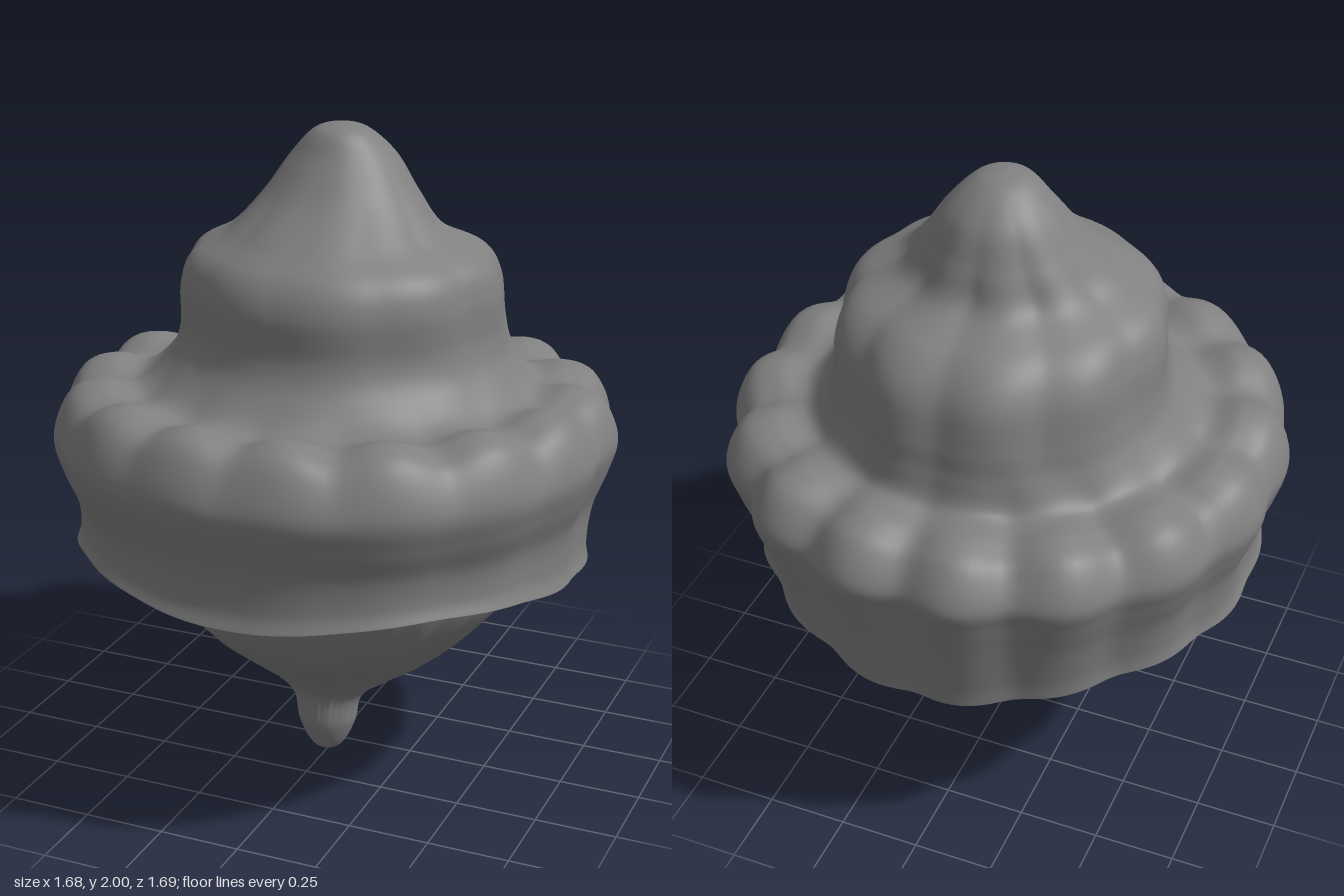
import * as THREE from 'three';

const SIDES = 192, STEPS = 8;

// Smooth interpolation through rows of numbers, all columns at once
function sampleRows(rows, u) {
  const i = Math.min(Math.floor(u), rows.length - 2), t = u - i;
  const at = k => rows[Math.max(0, Math.min(rows.length - 1, k))];
  const [a, b, c, d] = [at(i - 1), at(i), at(i + 1), at(i + 2)];
  return b.map((v, k) => v + 0.5 * t * (c[k] - a[k] +
    t * (2 * a[k] - 5 * v + 4 * c[k] - d[k] + t * (3 * (v - c[k]) + d[k] - a[k]))));
}

// Closed rings stacked from top to bottom; place(row, angle) gives a point, angle 0 = front
function loft(name, rows, place, material) {
  const pos = [], index = [], count = (rows.length - 1) * STEPS;
  for (let i = 0; i <= count; i++) {
    const row = sampleRows(rows, i / STEPS);
    for (let j = 0; j < SIDES; j++) pos.push(...place(row, (j / SIDES) * Math.PI * 2));
  }
  for (let i = 0; i < count; i++) {
    for (let j = 0; j < SIDES; j++) {
      const a = i * SIDES + j, d = i * SIDES + (j + 1) % SIDES;
      index.push(a, a + SIDES, d, a + SIDES, d + SIDES, d);
    }
  }
  const geometry = new THREE.BufferGeometry();
  geometry.setAttribute('position', new THREE.Float32BufferAttribute(pos, 3));
  geometry.setIndex(index);
  geometry.computeVertexNormals();
  const mesh = new THREE.Mesh(geometry, material);
  mesh.name = name;
  return mesh;
}

// Point on an oval ring that reaches z = front and z = back
function ringPoint(angle, y, rx, front, back, swell) {
  const c = Math.cos(angle), s = Math.sin(angle);
  return [s * (rx + swell), y, (front + back) / 2 + c * ((front - back) / 2 + swell)];
}

// Rounded lobes with soft valleys between them
const scallop = (angle, lobes) => Math.sqrt(Math.sin(angle * lobes / 2) ** 2 + 0.12) - 0.8;

// y, half width, front z, back z, rim lobes, rim lift, tier lobes, hem wave
const shellRows = [
  [2.00, 0.00, -0.03, -0.03, 0, 0, 0, 0],
  [1.98, 0.08, 0.05, -0.11, 0, 0, 0, 0],
  [1.90, 0.16, 0.11, -0.20, 0, 0, 0.1, 0],
  [1.79, 0.235, 0.20, -0.25, 0, 0, 0.3, 0],
  [1.69, 0.32, 0.32, -0.30, 0, 0, 0.8, 0],
  [1.62, 0.44, 0.41, -0.44, 0, 0, 1, 0],
  [1.53, 0.48, 0.45, -0.52, 0, 0, 1, 0],
  [1.40, 0.49, 0.45, -0.55, 0, 0, 0.7, 0],
  [1.31, 0.52, 0.49, -0.56, 0.1, 0, 0.4, 0],
  [1.23, 0.60, 0.58, -0.59, 0.3, 0.3, 0, 0],
  [1.235, 0.70, 0.70, -0.70, 0.7, 1, 0, 0],
  [1.20, 0.79, 0.79, -0.78, 1, 0.9, 0, 0],
  [1.09, 0.84, 0.85, -0.84, 1, 0.3, 0, 0],
  [0.99, 0.82, 0.83, -0.82, 0.8, 0, 0, 0],
  [0.88, 0.78, 0.80, -0.785, 0.6, 0, 0, 0.3],
  [0.77, 0.77, 0.795, -0.75, 0.5, 0, 0, 0.8],
  [0.714, 0.78, 0.81, -0.74, 0.5, 0, 0, 1],
];

function shellPoint([y, rx, front, back, lobes, lift, tier, hem], a) {
  const c = Math.cos(a), rim = scallop(a, 16);
  // The lobes are deeper towards the back; the front corners are fuller
  const corner = 0.009 * (1 - Math.cos(4 * a)) * (1 + c) / 2;
  const swell = lobes * (rim * (0.035 - 0.028 * c) + corner) +
    tier * scallop(a, 10) * (0.024 - 0.016 * c);
  const wave = 0.05 * c - 0.015 * Math.cos(2 * a) - 0.019 * Math.cos(4 * a);
  return ringPoint(a, y + lift * (0.05 * rim + 0.025 * c) + hem * wave, rx, front, back, swell);
}

// y, half width, front z, back z, depth of the creases
const bulbRows = [
  [1.02, 0.79, 0.79, -0.77, 0],
  [0.97, 0.70, 0.70, -0.69, 0],
  [0.88, 0.64, 0.63, -0.63, 0.2],
  [0.73, 0.61, 0.60, -0.59, 0.5],
  [0.60, 0.555, 0.54, -0.53, 0.8],
  [0.48, 0.455, 0.46, -0.45, 1],
  [0.36, 0.33, 0.32, -0.29, 1],
  [0.28, 0.21, 0.22, -0.12, 0.6],
  [0.21, 0.115, 0.17, -0.02, 0.2],
  [0.11, 0.09, 0.165, 0.00, 0],
  [0.03, 0.05, 0.13, 0.03, 0],
  [0.00, 0.00, 0.08, 0.08, 0],
];

function bulbPoint([y, rx, front, back, crease], a) {
  // Uneven folds that drift sideways as they climb
  const folds = 0.006 * Math.cos(13 * a + 2 * Math.sin(3 * a) + 2 * y) +
    0.004 * Math.cos(29 * a + 3 * Math.sin(2 * a) - 4 * y) + 0.006 * Math.sin(5 * a + 1);
  return ringPoint(a, y, rx, front, back, crease * folds);
}

export function createModel() {
  const group = new THREE.Group();
  group.name = 'lobedPod';
  const material = new THREE.MeshStandardMaterial({ color: 0x808080, side: THREE.DoubleSide });
  // Domed upper shell with its open skirt
  group.add(loft('upperShell', shellRows, shellPoint, material));
  // Creased bulb with a pointed tip, joined inside the skirt
  group.add(loft('lowerBulb', bulbRows, bulbPoint, material));
  return group;
}
